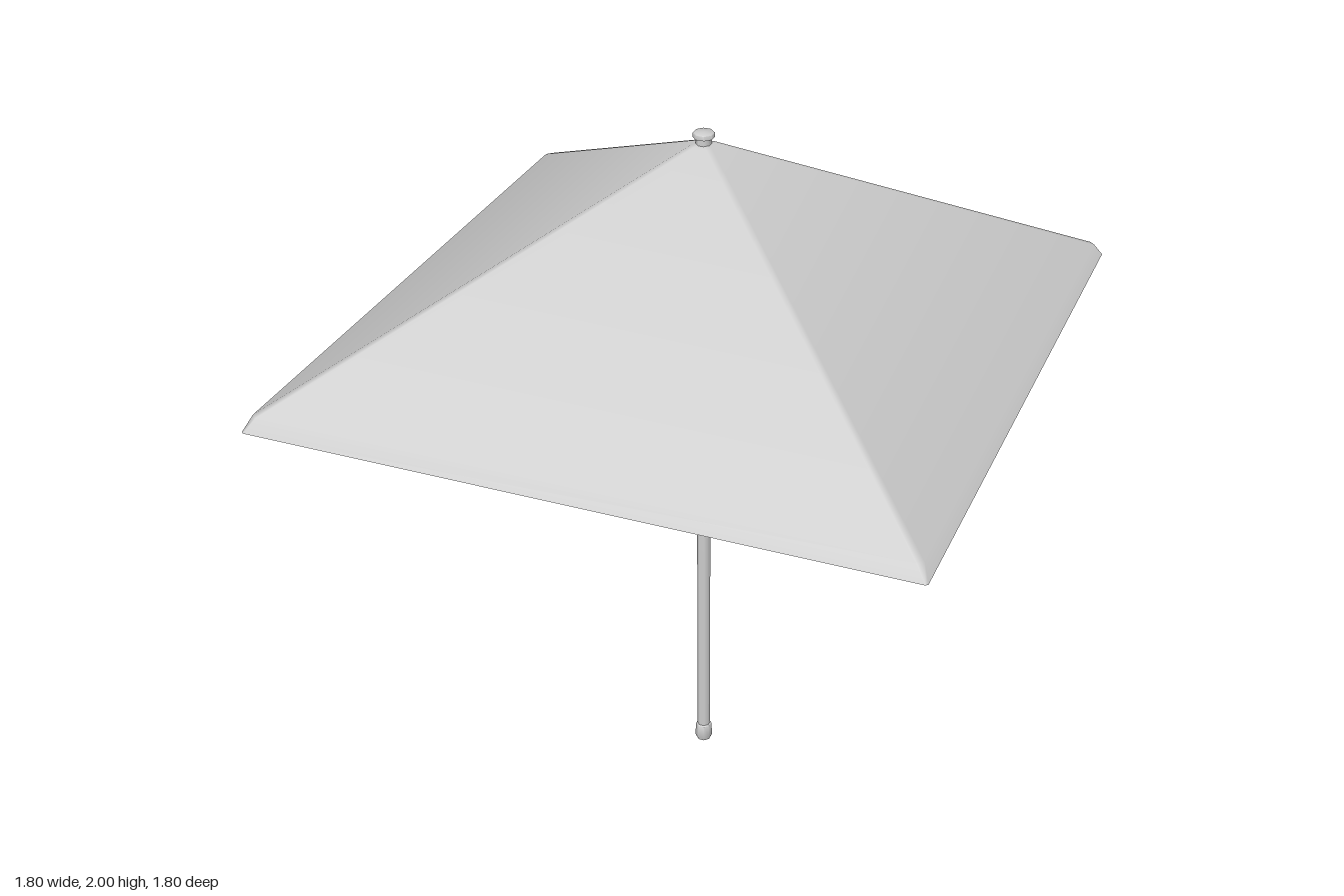
import * as THREE from 'three';
import { toCreasedNormals } from 'three/addons/utils/BufferGeometryUtils.js';

const grey = new THREE.MeshStandardMaterial({ color: 0xcccccc });
const cloth = new THREE.MeshStandardMaterial({ color: 0xcccccc, side: THREE.DoubleSide });

// Eight-sided turned part from [radius, height] pairs, listed bottom to top
function turned(name, profile) {
  const points = profile.map(([r, y]) => new THREE.Vector2(r, y));
  const lathe = new THREE.LatheGeometry(points, 8, Math.PI / 8);
  const mesh = new THREE.Mesh(toCreasedNormals(lathe, 0.9), grey);
  mesh.name = name;
  return mesh;
}

// Square canopy: stacked square rings with narrow chamfered ridges
function canopy() {
  // half width, height, ridge chamfer, outward and upward normal
  const rings = [
    [0.9, 1.4, 0.006, 0.8, 0.6],
    [0.88, 1.44, 0.015, 0.73, 0.68],
    [0.03, 1.965, 0.012, 0.45, 0.89],
    [0, 1.972, 0, 0, 1],
  ];
  const position = [], normal = [], index = [];
  for (const [half, y, chamfer, out, up] of rings) {
    for (let side = 0; side < 4; side++) {
      const a = side * Math.PI / 2, s = Math.sin(a), c = Math.cos(a);
      for (const end of [-1, 1]) {
        const t = end * (half - chamfer);
        position.push(s * half + c * t, y, c * half - s * t);
        normal.push(s * out, up, c * out);
      }
    }
  }
  for (let r = 0; r < rings.length - 1; r++) {
    for (let i = 0; i < 8; i++) {
      const a = r * 8 + i, b = r * 8 + (i + 1) % 8;
      index.push(a, b, b + 8, a, b + 8, a + 8);
    }
  }
  const geometry = new THREE.BufferGeometry();
  geometry.setAttribute('position', new THREE.Float32BufferAttribute(position, 3));
  geometry.setAttribute('normal', new THREE.Float32BufferAttribute(normal, 3));
  geometry.setIndex(index);
  geometry.normalizeNormals();
  const mesh = new THREE.Mesh(geometry, cloth);
  mesh.name = 'canopy';
  return mesh;
}

export function createModel() {
  const group = new THREE.Group();
  group.name = 'parasol';
  group.add(
    canopy(),
    turned('pole', [[0, 0.02], [0.019, 0.02], [0.019, 1.97], [0, 1.97]]),
    // Foot sleeve at the lower end of the pole
    turned('foot', [[0, 0], [0.022, 0], [0.026, 0.01], [0.023, 0.052], [0.019, 0.055]]),
    // Neck and wider cap above the canopy
    turned('finial', [[0.021, 1.95], [0.021, 1.983], [0.029, 1.986], [0.029, 1.998], [0.027, 2], [0, 2]]),
  );
  return group;
}
